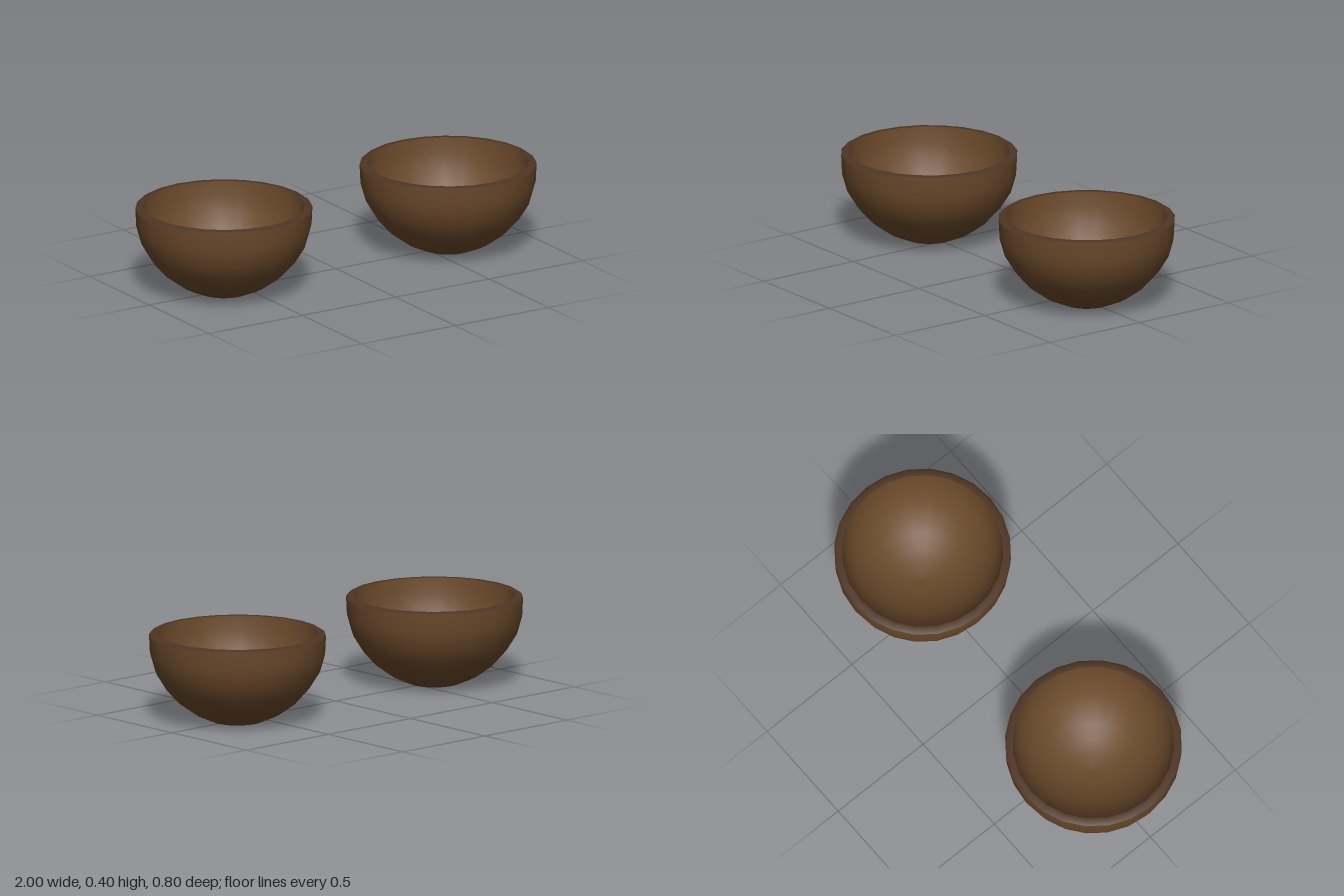
import * as THREE from 'three';

const SIDES = 24;

// Surface of revolution from [radius, height] pairs
function lathe(name, points, material) {
  const profile = points.map(([r, y]) => new THREE.Vector2(r, y));
  const mesh = new THREE.Mesh(new THREE.LatheGeometry(profile, SIDES), material);
  mesh.name = name;
  return mesh;
}

export function createModel() {
  const model = new THREE.Group();
  model.name = 'shellHalves';

  const shell = new THREE.MeshStandardMaterial({ color: 0x6b4a2b });
  shell.name = 'shell brown';
  const edge = new THREE.MeshStandardMaterial({ color: 0x4e3524 });
  edge.name = 'rim brown';

  // Rounded outer wall with a small flat foot
  const outer = [
    [0, 0.003], [0.117, 0.001], [0.195, 0.036], [0.27, 0.09],
    [0.328, 0.155], [0.373, 0.228], [0.396, 0.31], [0.4, 0.395],
  ];
  // Narrow bevelled lip
  const lip = [[0.4, 0.395], [0.387, 0.404], [0.365, 0.404]];
  // Hollow, a hemisphere from the lip down to the middle
  const inner = [[0.365, 0.404]];
  const steps = 8;
  for (let i = 1; i <= steps; i++) {
    const a = (i / steps) * Math.PI / 2;
    inner.push([i === steps ? 0 : 0.365 * Math.cos(a), 0.404 - 0.365 * Math.sin(a)]);
  }

  for (const [name, x] of [['rightBowl', -0.6], ['leftBowl', 0.6]]) {
    const bowl = new THREE.Group();
    bowl.name = name;
    bowl.position.x = x;
    bowl.add(
      lathe('outerShell', outer, shell),
      lathe('rim', lip, edge),
      lathe('innerHollow', inner, shell),
    );
    model.add(bowl);
  }
  return model;
}
